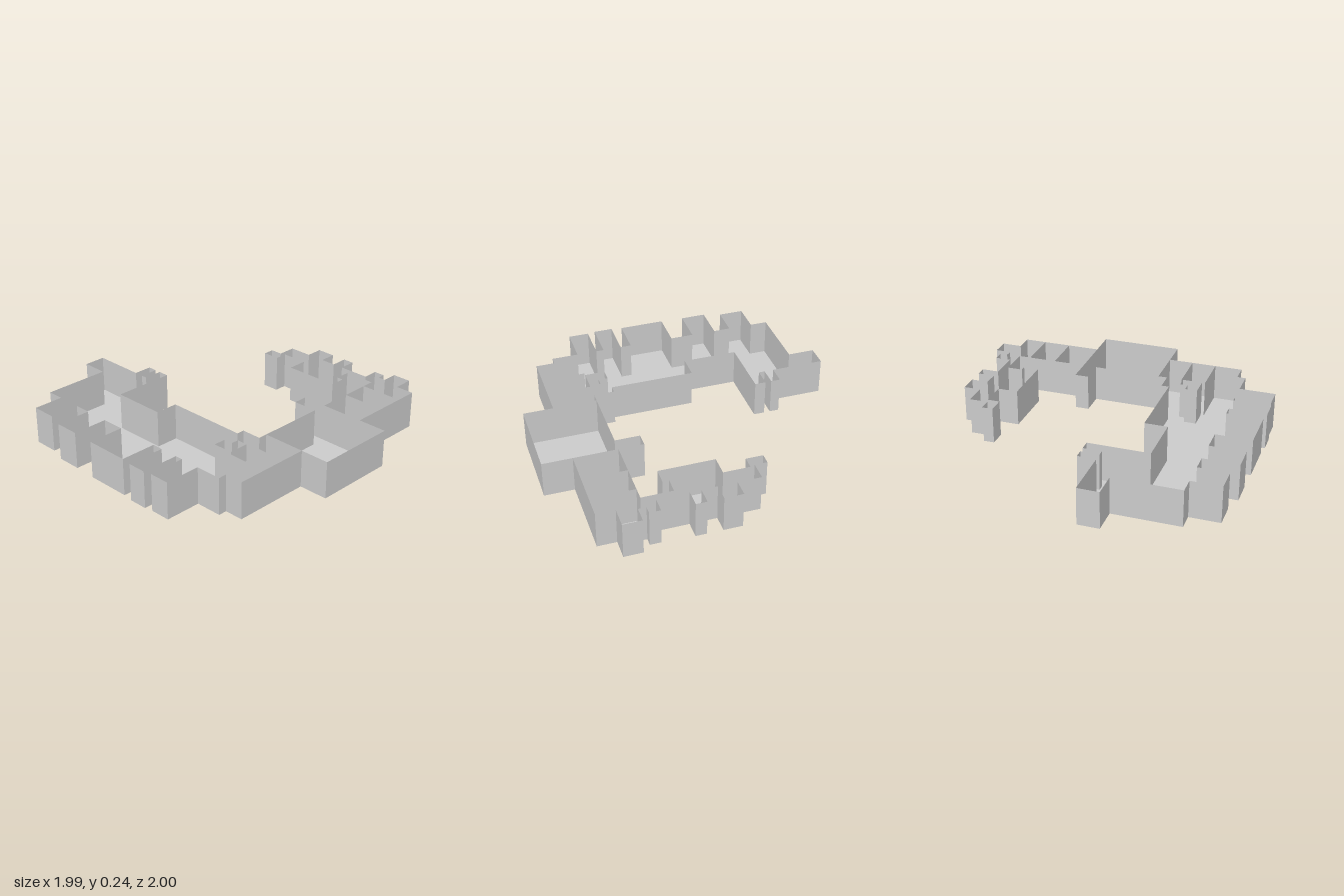
import * as THREE from 'three';

const HEIGHT = 0.24;
const material = new THREE.MeshStandardMaterial({ color: 0xcccccc, side: THREE.DoubleSide, flatShading: true });

// Right-angled loop: values alternate x, z, x, z; each one moves along one axis only
function steppedLoop(values) {
  const points = [];
  for (let i = 0; i < values.length; i += 2) {
    const next = values[(i + 2) % values.length];
    points.push([values[i], values[i + 1]], [next, values[i + 1]]);
  }
  return points;
}

// Thin upright wall between two plan points
function wall(name, [x1, z1], [x2, z2]) {
  const geometry = new THREE.PlaneGeometry(Math.hypot(x2 - x1, z2 - z1), HEIGHT);
  const mesh = new THREE.Mesh(geometry, material);
  mesh.name = name;
  mesh.position.set((x1 + x2) / 2, HEIGHT / 2, (z1 + z2) / 2);
  mesh.rotation.y = -Math.atan2(z2 - z1, x2 - x1);
  return mesh;
}

export function createModel() {
  const model = new THREE.Group();
  model.name = 'openTopBuilding';

  const outline = steppedLoop([
    // back wing and inner court
    -0.32, -1, -0.18, -0.66, -0.06, -0.6, -0.18, -0.56, -0.06, -0.49, -0.46, -0.14,
    -0.31, 0.4, -0.26, 0.53, 0.24, 0.37, 0.33, 0.53,
    // right wing with its bays
    0.8, 0.33, 0.7, 0.37, 0.6, 0.01, 0.73, -0.16, 0.65, -0.27, 0.72, -0.19,
    0.84, -0.04, 0.95, 0.08, 0.84, 0.18, 0.95, 0.25, 0.84, 0.45, 0.94, 0.52,
    0.89, 0.57, 0.99, 0.69, 0.86, 0.81,
    // front bay
    0.33, 1, -0.2, 0.81, -0.7, 0.69,
    // row of side bays
    -0.755, 0.52, -0.99, 0.39, -0.755, 0.34, -1, 0.22, -0.755, 0.15, -0.99, -0.14,
    -0.755, -0.29, -0.985, -0.45, -0.755, -0.56, -0.95, -0.72, -0.755, -0.83,
  ]);
  const shaft = steppedLoop([-0.5, 0.4, -0.42, 0.46, -0.37, 0.53]);

  // Floor plate with the small shaft cut out
  const toVectors = (loop) => loop.map(([x, z]) => new THREE.Vector2(x, -z));
  const plan = new THREE.Shape(toVectors(outline));
  plan.holes.push(new THREE.Path(toVectors(shaft)));
  const floor = new THREE.Mesh(new THREE.ShapeGeometry(plan).rotateX(-Math.PI / 2), material);
  floor.name = 'floor';
  model.add(floor);

  // Walls around the outline and the shaft
  for (const [name, loop] of [['outerWall', outline], ['shaftWall', shaft]]) {
    const group = new THREE.Group();
    group.name = name + 's';
    loop.forEach((point, i) => group.add(wall(name, point, loop[(i + 1) % loop.length])));
    model.add(group);
  }

  // Cross walls dividing the front wing into rooms
  const partitions = new THREE.Group();
  partitions.name = 'partitions';
  for (const x of [-0.52, -0.36, -0.2, 0.33, 0.54, 0.72]) {
    partitions.add(wall('partition', [x, 0.53], [x, 0.81]));
  }
  model.add(partitions);
  return model;
}
